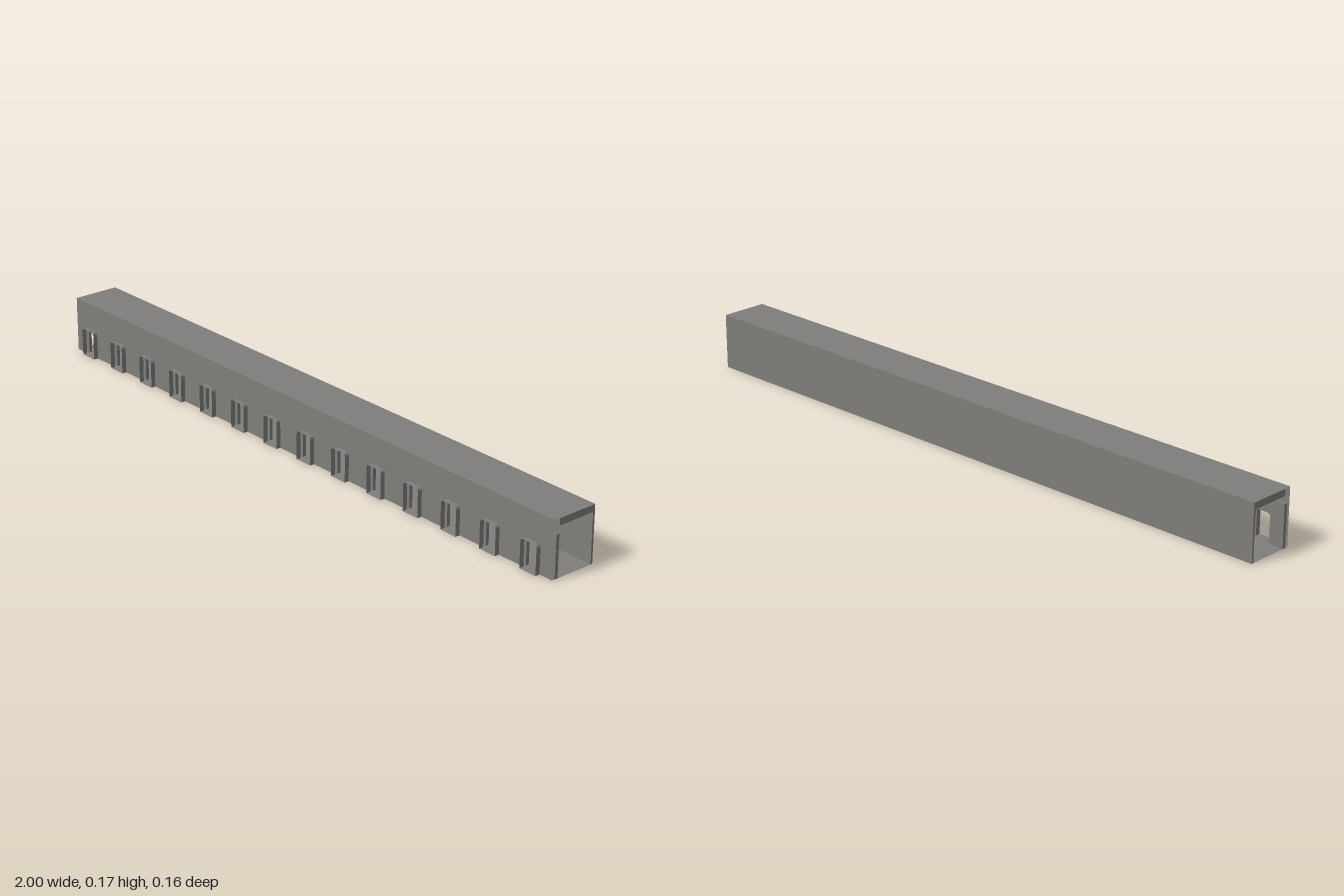
import * as THREE from 'three';

const COUNT = 14, LENGTH = 2, HEIGHT = 0.165;
const WIN_W = 0.056, WIN_H = 0.084, WIN_R = 0.009;
const FRONT = 0.064, BACK = -0.078, LIP = 0.078;

// Outline of an arched opening, from bottom left over the top to bottom right
function openingPoints(cx) {
  const w = WIN_W / 2, pts = [[cx - w, 0]];
  for (const side of [-1, 1]) {
    for (let i = 0; i <= 3; i++) {
      const a = (side < 0 ? Math.PI - (i / 3) * (Math.PI / 2) : Math.PI / 2 - (i / 3) * (Math.PI / 2));
      pts.push([cx + side * (w - WIN_R) + WIN_R * Math.cos(a), WIN_H - WIN_R + WIN_R * Math.sin(a)]);
    }
  }
  pts.push([cx + w, 0]);
  return pts;
}

const centres = Array.from({ length: COUNT }, (_, i) => -1 + (2 * i + 1) / COUNT);

// Long wall with a row of openings cut up from its lower edge
function wallShape(height) {
  const shape = new THREE.Shape();
  shape.moveTo(-LENGTH / 2, 0);
  for (const cx of centres) for (const [x, y] of openingPoints(cx)) shape.lineTo(x, y);
  shape.lineTo(LENGTH / 2, 0);
  shape.lineTo(LENGTH / 2, height);
  shape.lineTo(-LENGTH / 2, height);
  shape.closePath();
  return shape;
}

// Thin hollow collar around an opening, running from z0 to z1
function collarGeometry(z0, z1) {
  const pts = openingPoints(0), pos = [];
  pts.forEach(([ax, ay], i) => {
    const [bx, by] = pts[(i + 1) % pts.length];
    pos.push(ax, ay, z0, bx, by, z1, ax, ay, z1, ax, ay, z0, bx, by, z0, bx, by, z1);
  });
  const g = new THREE.BufferGeometry();
  g.setAttribute('position', new THREE.Float32BufferAttribute(pos, 3));
  g.computeVertexNormals();
  return g;
}

export function createModel() {
  const model = new THREE.Group();
  model.name = 'slottedChannel';
  const grey = new THREE.MeshStandardMaterial({ color: 0x807e7b, side: THREE.DoubleSide });
  grey.name = 'warmGrey';

  const add = (name, geometry, x = 0, y = 0, z = 0) => {
    const mesh = new THREE.Mesh(geometry, grey);
    mesh.name = name;
    mesh.position.set(x, y, z);
    model.add(mesh);
    return mesh;
  };

  // Outer skins: front wall, roof and floor
  const depth = FRONT - BACK, midZ = (FRONT + BACK) / 2;
  add('frontSkin', new THREE.ShapeGeometry(wallShape(HEIGHT)), 0, 0, FRONT);
  add('roofSkin', new THREE.PlaneGeometry(LENGTH, depth).rotateX(-Math.PI / 2), 0, HEIGHT, midZ);
  add('floorSkin', new THREE.PlaneGeometry(LENGTH, depth).rotateX(Math.PI / 2), 0, 0, midZ);

  // Inner board behind the front skin, with matching openings
  add('innerBoard', new THREE.ExtrudeGeometry(wallShape(0.123), { depth: 0.01, bevelEnabled: false }), 0, 0, 0.045);

  // Roof slab and back wall
  add('roofSlab', new THREE.BoxGeometry(LENGTH, 0.02, 0.045 - BACK), 0, HEIGHT - 0.0105, (0.045 + BACK) / 2);
  add('backWall', new THREE.BoxGeometry(LENGTH, HEIGHT, 0.006), 0, HEIGHT / 2, BACK + 0.003);

  // Collars standing out from the front openings
  const collar = collarGeometry(FRONT, LIP);
  centres.forEach((x, i) => add(`openingCollar${i + 1}`, collar, x));

  return model;
}
